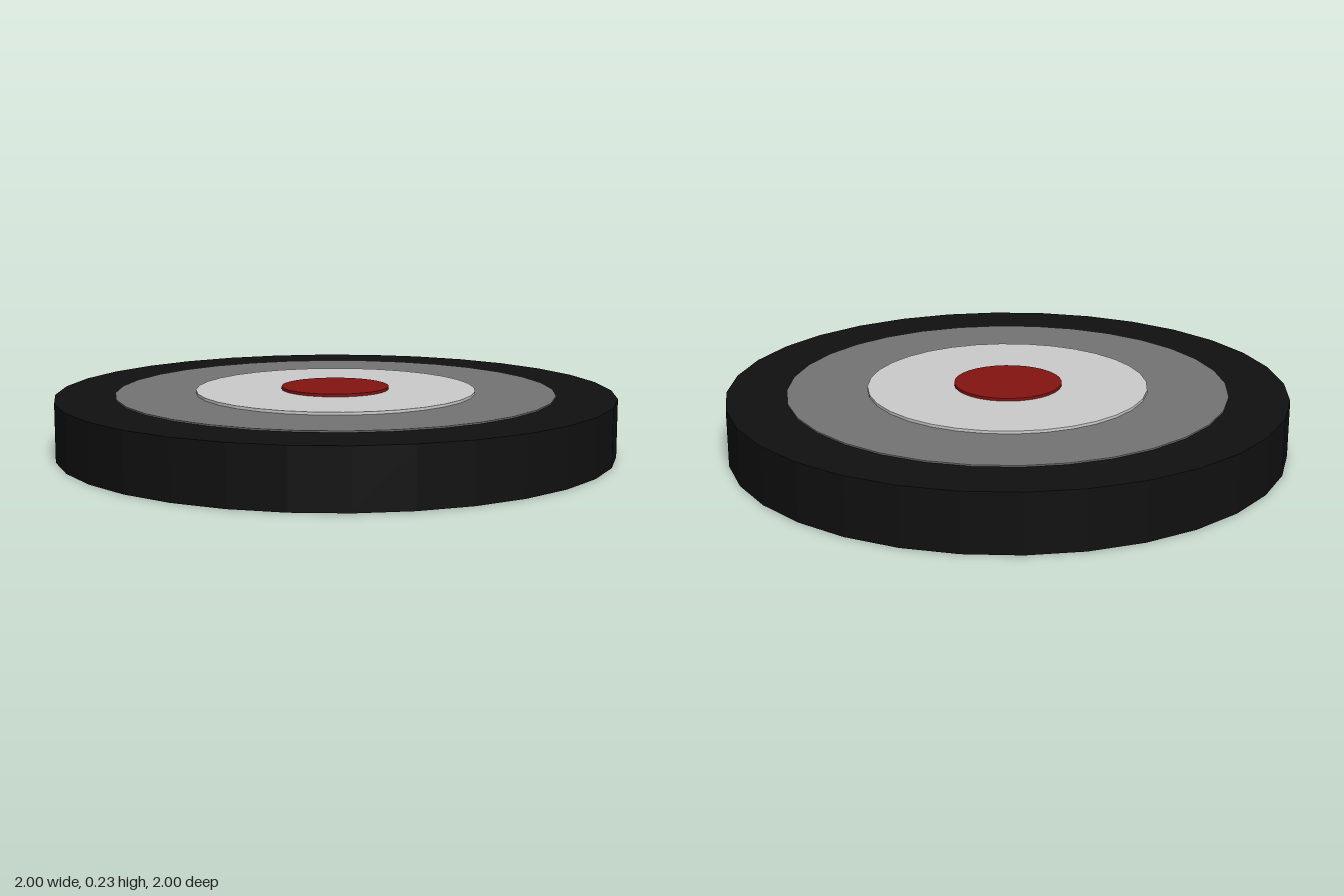
import * as THREE from 'three';

const SIDES = 32;

// Faceted disc with a flat side facing each axis; radius is measured to the flats
function disc(name, radius, bottom, top, color, x = 0, z = 0) {
  const half = Math.PI / SIDES;
  const geometry = new THREE.CylinderGeometry(
    radius / Math.cos(half), radius / Math.cos(half), top - bottom, SIDES, 1, false, half);
  const mesh = new THREE.Mesh(geometry, new THREE.MeshStandardMaterial({ color, flatShading: true }));
  mesh.name = name;
  mesh.position.set(x, (bottom + top) / 2, z);
  return mesh;
}

export function createModel() {
  const model = new THREE.Group();
  model.name = 'roundTarget';
  model.add(
    // Thick black body
    disc('base', 1, 0, 0.208, 0x101010),
    // Thin raised discs, each stacked on the one before
    disc('outerRing', 0.786, 0.208, 0.213, 0x747474, -0.002, -0.003),
    disc('innerRing', 0.5, 0.213, 0.223, 0xcccccc),
    // Red bullseye
    disc('centre', 0.192, 0.223, 0.233, 0x841311, -0.002, 0),
  );
  return model;
}
